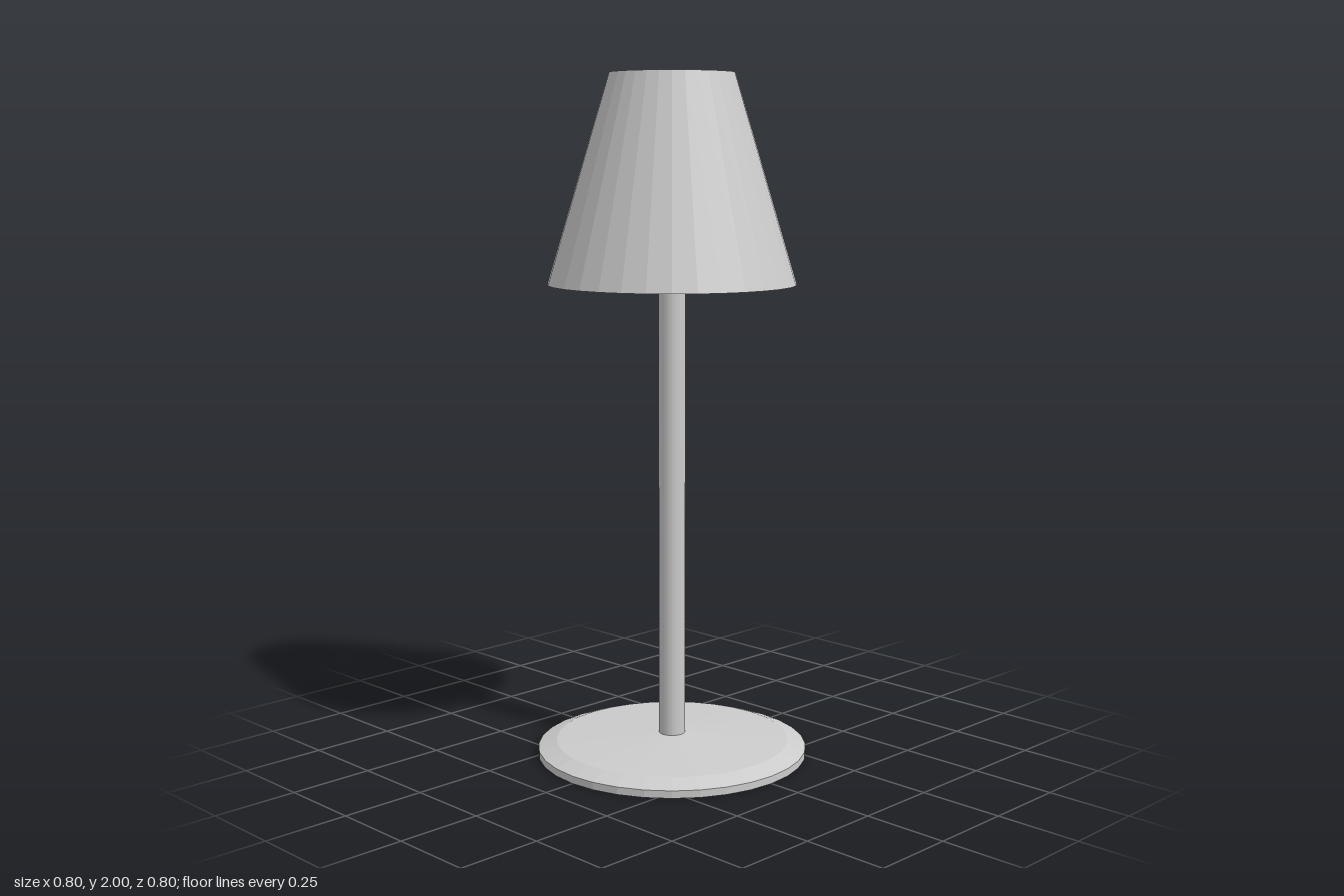
import * as THREE from 'three';

const SIDES = 32;

export function createModel() {
  const model = new THREE.Group();
  model.name = 'tableLamp';
  const material = new THREE.MeshStandardMaterial({ color: 0xcccccc, flatShading: true });

  const add = (name, geometry) => {
    const mesh = new THREE.Mesh(geometry, material);
    mesh.name = name;
    model.add(mesh);
    return mesh;
  };
  // Turned part from [radius, height] pairs, listed upwards along the outside
  const turned = (name, profile) =>
    add(name, new THREE.LatheGeometry(profile.map(([r, y]) => new THREE.Vector2(r, y)), SIDES));

  // Disc foot with a bevelled edge and a gently sloped top
  turned('base', [[0, 0], [0.4, 0], [0.4, 0.022], [0.345, 0.042], [0.03, 0.06], [0, 0.06]]);

  // Post with a chamfered top
  turned('pole', [[0, 0.05], [0.039, 0.05], [0.039, 1.79], [0.033, 1.8], [0, 1.8]]);

  // Thin conical shade, open at both ends
  const wall = 0.004;
  turned('shade', [[0.36, 1.4], [0.18, 2], [0.18 - wall, 2], [0.36 - wall, 1.4], [0.36, 1.4]]);

  // Three tapered arms holding the shade
  const inner = 0.03, outer = 0.245, armY = 1.775;
  const arm = new THREE.CylinderGeometry(0.002, 0.007, outer - inner, 8);
  arm.rotateX(-Math.PI / 2);
  arm.translate(0, armY, -(inner + outer) / 2);
  for (let i = 0; i < 3; i++) {
    add('shadeArm' + (i + 1), arm).rotation.y = (i * Math.PI * 2) / 3;
  }

  return model;
}
